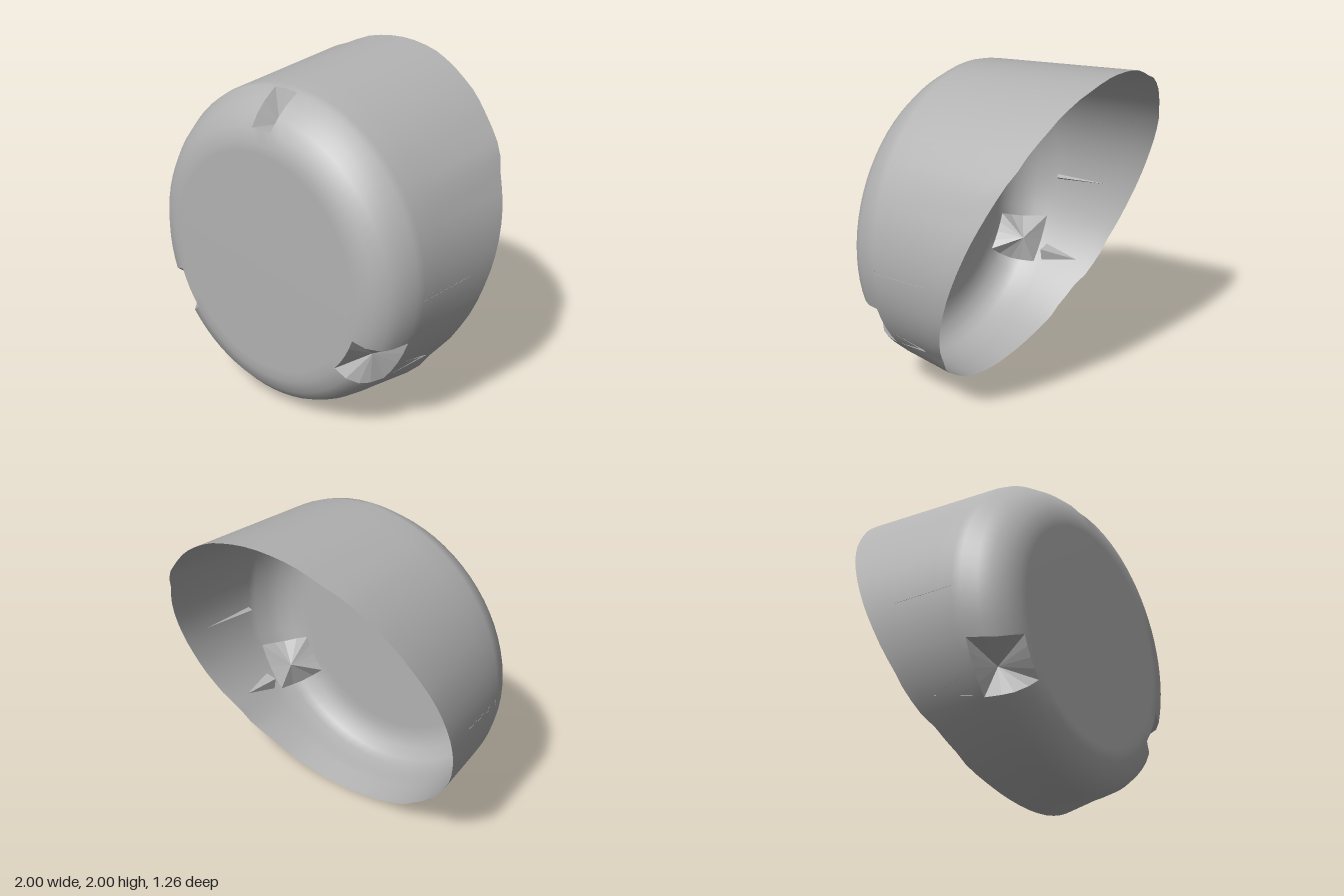
import * as THREE from 'three';

const SEG = 72, WALL = 6;
// Rings from the flat face to the start of the wall: radius, centre height, z
const RINGS = [
  [0.0, 0.945, 0.63], [0.66, 0.945, 0.63], [0.72, 0.94, 0.628], [0.8, 0.94, 0.605],
  [0.865, 0.945, 0.55], [0.905, 0.96, 0.49], [0.94, 0.983, 0.4], [0.948, 0.986, 0.35],
];
const LAST = RINGS.length - 1;

// Small repeatable wobble for the worn rim
const noise = (n) => { const s = Math.sin(n * 91.7 + 4.1) * 437.5; return s - Math.floor(s); };

// Surface point at ring j and (fractional) angular step i
function point(i, j) {
  const a = (i / SEG) * Math.PI * 2, c = Math.cos(a), s = Math.sin(a);
  const [r, cy, z] = RINGS[Math.min(j, LAST)];
  const p = new THREE.Vector3(r * c, cy + r * s, z);
  if (j > LAST) {
    // The wall flares to a slanted open rim
    const worn = Math.sin(2 * a) ** 2;
    const k = 1 - 0.02 * worn * noise(Math.floor(i / 2));
    const rim = new THREE.Vector3(c * k, 1 + s * k, 0.17 - 0.4 * (1 + s));
    rim.z += 0.03 * worn * (noise(Math.floor(i / 3) + 50) - 0.5);
    p.lerp(rim, (j - LAST) / WALL);
  }
  return p;
}

function geometry(points, index) {
  const g = new THREE.BufferGeometry().setFromPoints(points);
  if (index) g.setIndex(index);
  g.computeVertexNormals();
  return g;
}

// Three pockets in the rounded corner: cell range in angle and rings
const POCKETS = [
  { name: 'topNotch', i0: 17, i1: 19, j0: 3, j1: 6 },
  { name: 'rightPocket', i0: 40, i1: 44, j0: 2, j1: 6 },
  { name: 'leftPocket', i0: 64, i1: 68, j0: 2, j1: 6 },
];

// Smooth cup with the pocket cells left open
function shellGeometry() {
  const points = [], index = [], rows = LAST + WALL;
  for (let j = 0; j <= rows; j++) for (let i = 0; i < SEG; i++) points.push(point(i, j));
  for (let j = 0; j < rows; j++) {
    for (let i = 0; i < SEG; i++) {
      if (POCKETS.some((p) => i >= p.i0 && i < p.i1 && j >= p.j0 && j < p.j1)) continue;
      const a = j * SEG + i, b = j * SEG + ((i + 1) % SEG);
      const c = a + SEG, d = b + SEG;
      if (j > 0) index.push(a, d, b);
      index.push(a, c, d);
    }
  }
  return geometry(points, index);
}

// Faceted recess: opening loop, smaller sunken loop, floor
function pocketGeometry({ i0, i1, j0, j1 }) {
  const cells = [];
  for (let j = j0; j < j1; j++) cells.push([i0, j]);
  for (let i = i0; i < i1; i++) cells.push([i, j1]);
  for (let j = j1; j > j0; j--) cells.push([i1, j]);
  for (let i = i1; i > i0; i--) cells.push([i, j0]);
  const mid = (i0 + i1) / 2;
  const a = (mid / SEG) * Math.PI * 2;
  const floor = new THREE.Vector3(0.79 * Math.cos(a), 0.945 + 0.79 * Math.sin(a), 0.46);
  const outer = cells.map(([i, j]) => point(i, j));
  const inner = outer.map((p) => p.clone().lerp(floor, 0.55));
  const tris = [];
  outer.forEach((p, k) => {
    const n = (k + 1) % outer.length;
    tris.push(p, outer[n], inner[n], p, inner[n], inner[k], inner[k], inner[n], floor);
  });
  return geometry(tris);
}

// Thin pointed crease standing inside the wall
function creaseGeometry(i, width, depth, j0, j1) {
  const a = point(i - width, j0), b = point(i + width, j0), tip = point(i, j1);
  const ridge = a.clone().lerp(b, 0.5);
  const hub = new THREE.Vector3(0, 0.98, ridge.z);
  ridge.lerp(hub, depth);
  return geometry([a, ridge, tip, ridge, b, tip, a, b, ridge]);
}

export function createModel() {
  const model = new THREE.Group();
  model.name = 'slantedCup';
  const grey = new THREE.MeshStandardMaterial({ color: 0xb2b2b2, side: THREE.DoubleSide });
  grey.name = 'grey';
  const greyFacet = grey.clone();
  greyFacet.name = 'greyFacet';
  greyFacet.flatShading = true;

  const add = (name, geo, mat) => {
    const mesh = new THREE.Mesh(geo, mat);
    mesh.name = name;
    model.add(mesh);
  };
  add('cupShell', shellGeometry(), grey);
  POCKETS.forEach((p) => add(p.name, pocketGeometry(p), greyFacet));

  // Creases mirrored on the left and right walls
  for (const side of [1, -1]) {
    const at = (i) => (side > 0 ? i : SEG / 2 - i);
    const label = side > 0 ? 'left' : 'right';
    add(label + 'SideCrease', creaseGeometry(at(-0.6), 0.2, 0.03, LAST, LAST + 4), greyFacet);
    add(label + 'LowerCrease', creaseGeometry(at(-7), 0.7, 0.06, LAST, LAST + 4), greyFacet);
  }
  return model;
}
